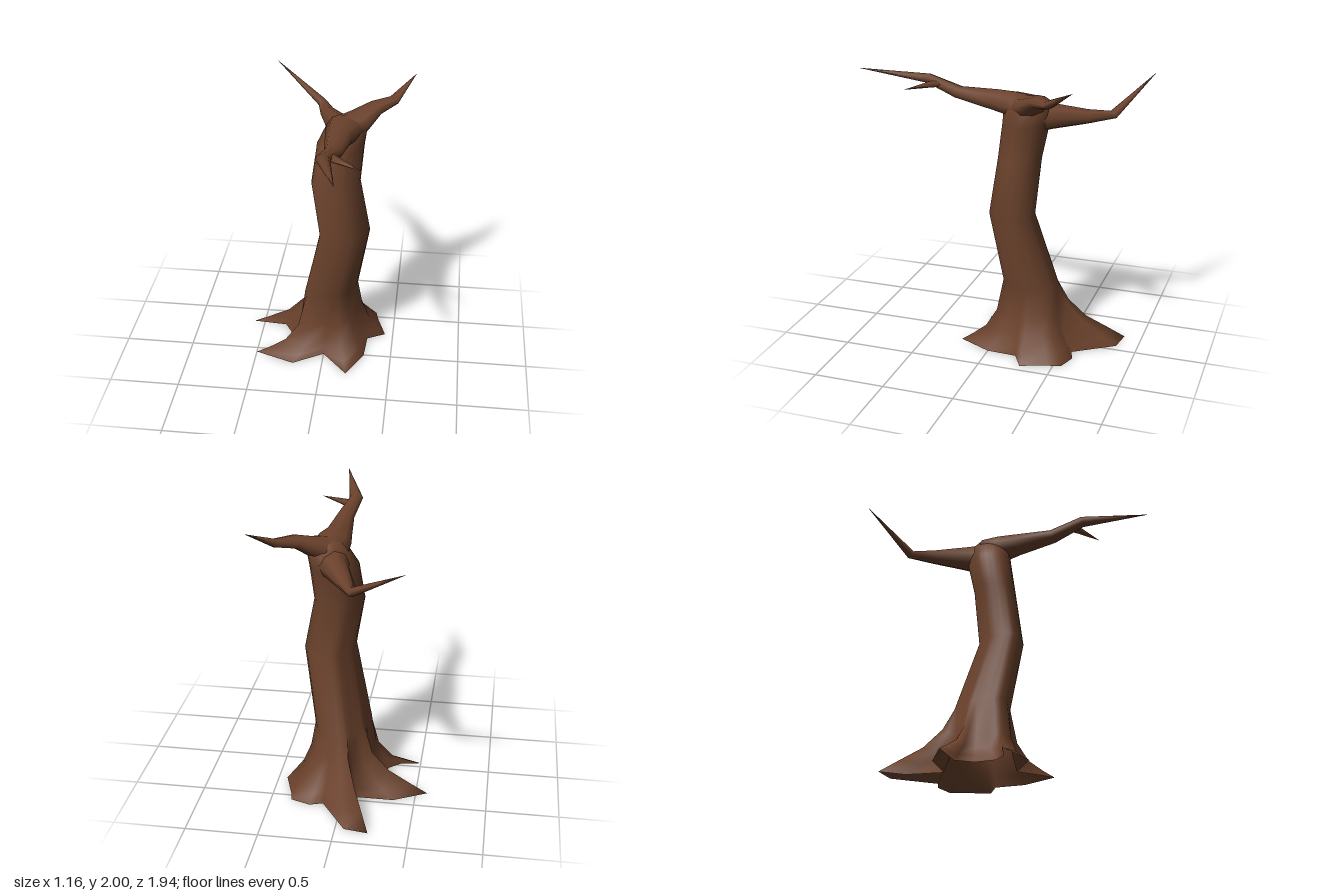
import * as THREE from 'three';

const bark = new THREE.MeshStandardMaterial({ color: 0x6b422c, side: THREE.DoubleSide });
bark.name = 'bark brown';

// Smooth skin over a list of closed rings, each with the same number of points
function loft(name, rings) {
  const n = rings[0].length;
  const index = [];
  for (let r = 0; r < rings.length - 1; r++) {
    for (let i = 0; i < n; i++) {
      const a = r * n + i, b = r * n + (i + 1) % n;
      index.push(a, a + n, b, b, a + n, b + n);
    }
  }
  const geometry = new THREE.BufferGeometry().setFromPoints(rings.flat());
  geometry.setIndex(index);
  geometry.computeVertexNormals();
  const mesh = new THREE.Mesh(geometry, bark);
  mesh.name = name;
  return mesh;
}

// Tapered limb; each station is [x, y, z, half width, half height]
function limb(name, stations, sides = 8) {
  const centres = stations.map(s => new THREE.Vector3(s[0], s[1], s[2]));
  const rings = stations.map((s, k) => {
    const from = centres[Math.max(k - 1, 0)];
    const to = centres[Math.min(k + 1, centres.length - 1)];
    const along = to.clone().sub(from).normalize();
    const side = new THREE.Vector3(0, 1, 0).cross(along).normalize();
    const up = along.clone().cross(side);
    return Array.from({ length: sides }, (_, i) => {
      const t = -i / sides * Math.PI * 2;
      return centres[k].clone()
        .addScaledVector(side, Math.cos(t) * s[3])
        .addScaledVector(up, Math.sin(t) * s[4]);
    });
  });
  return loft(name, rings);
}

// Root outline on the ground: [x, z, angle of the matching trunk point, root height]
const ROOTS = [
  [0.185, 0.235, 74, 0.75], [0, 0.02, 101, 0.8], [-0.216, 0.155, 122, 0.55],
  [-0.5, 0.05, 138, 0.5], [-0.35, 0.02, 148, 0.5], [-0.27, -0.05, 160, 0.7],
  [-0.26, -0.2, 176, 0.9], [-0.33, -0.32, 188, 1], [-0.58, -0.34, 198, 1.1],
  [-0.35, -0.46, 212, 0.9], [-0.1, -0.46, 236, 1], [-0.12, -0.72, 246, 1.3],
  [-0.225, -0.875, 253, 1.5], [-0.06, -0.85, 264, 1.5], [0.13, -0.57, 284, 1.2],
  [0.22, -0.6, 296, 1.2], [0.355, -0.555, 311, 1.2], [0.375, -0.47, 328, 1.2],
  [0.44, -0.28, 352, 1.2], [0.31, -0.21, 370, 1], [0.3, 0, 404, 0.9],
];

// Trunk sections: [y, centre x, centre z, radius x, radius z, root spread, skew]
const TRUNK = [
  [0, 0.05, -0.24, 0.18, 0.2, 1, 0.4],
  [0.06, 0.05, -0.24, 0.18, 0.2, 0.74, 0.4],
  [0.14, 0.05, -0.24, 0.18, 0.2, 0.42, 0.4],
  [0.27, 0.05, -0.24, 0.18, 0.2, 0.16, 0.4],
  [0.48, 0.05, -0.24, 0.18, 0.2, 0, 0.36],
  [1.01, 0.145, -0.13, 0.172, 0.16, 0, 0.25],
  [1.39, 0.07, -0.16, 0.17, 0.15, 0, 0.15],
  [1.65, 0.095, -0.21, 0.165, 0.16, 0, 0.1],
  [1.76, 0.13, -0.225, 0.145, 0.155, 0, 0],
  [1.83, 0.13, -0.21, 0.09, 0.1, 0, 0],
  [1.85, 0.13, -0.21, 0.002, 0.002, 0, 0],
];

// Trunk section swells toward its front right corner and narrows across it
function skewFactor(angle, skew) {
  const swell = Math.max(0, Math.cos(angle - 2.42)) ** 12;
  const pinch = Math.cos(angle - 3.79) ** 8;
  return 1 + skew * (swell - 0.4 * pinch);
}

export function createModel() {
  const tree = new THREE.Group();
  tree.name = 'deadTree';

  // Trunk flaring into the roots, open underneath
  tree.add(loft('trunkAndRoots', TRUNK.map(([y, cx, cz, rx, rz, spread, skew]) =>
    ROOTS.map(([gx, gz, deg, height]) => {
      const a = THREE.MathUtils.degToRad(deg);
      const f = skewFactor(a, skew);
      // Root height fades out where the roots merge into the trunk
      const lift = 1 + (height - 1) * Math.max(0, 1 - y / 0.48);
      return new THREE.Vector3(
        THREE.MathUtils.lerp(cx + Math.cos(a) * rx * f, gx, spread),
        y * lift,
        THREE.MathUtils.lerp(cz + Math.sin(a) * rz * f, gz, spread));
    }))));

  // Long branch reaching forward, with its side twig
  tree.add(limb('frontBranch', [
    [0.13, 1.77, -0.24, 0.14, 0.08], [0.115, 1.78, -0.12, 0.125, 0.082],
    [0.1, 1.788, -0.01, 0.095, 0.075], [0.095, 1.82, 0.27, 0.065, 0.042],
    [0.05, 1.885, 0.5, 0.048, 0.034], [0.17, 1.95, 0.965, 0.001, 0.001],
  ]));
  tree.add(limb('frontTwig', [
    [0.07, 1.865, 0.4, 0.04, 0.025], [0.13, 1.865, 0.46, 0.035, 0.02],
    [0.3, 1.86, 0.58, 0.001, 0.001],
  ], 6));

  // Short branch rising to the left
  tree.add(limb('leftBranch', [
    [0.12, 1.76, -0.2, 0.13, 0.09], [0.22, 1.8, -0.28, 0.11, 0.07],
    [0.32, 1.86, -0.36, 0.07, 0.046], [0.44, 1.88, -0.46, 0.045, 0.028],
    [0.58, 2.0, -0.65, 0.001, 0.001],
  ]));

  // Lower branch at the back, bending up at the end
  tree.add(limb('backBranch', [
    [0.11, 1.69, -0.22, 0.13, 0.12], [0.06, 1.7, -0.38, 0.09, 0.09],
    [-0.04, 1.69, -0.6, 0.055, 0.05], [-0.1, 1.7, -0.76, 0.035, 0.03],
    [-0.45, 1.92, -0.97, 0.001, 0.001],
  ]));

  return tree;
}
